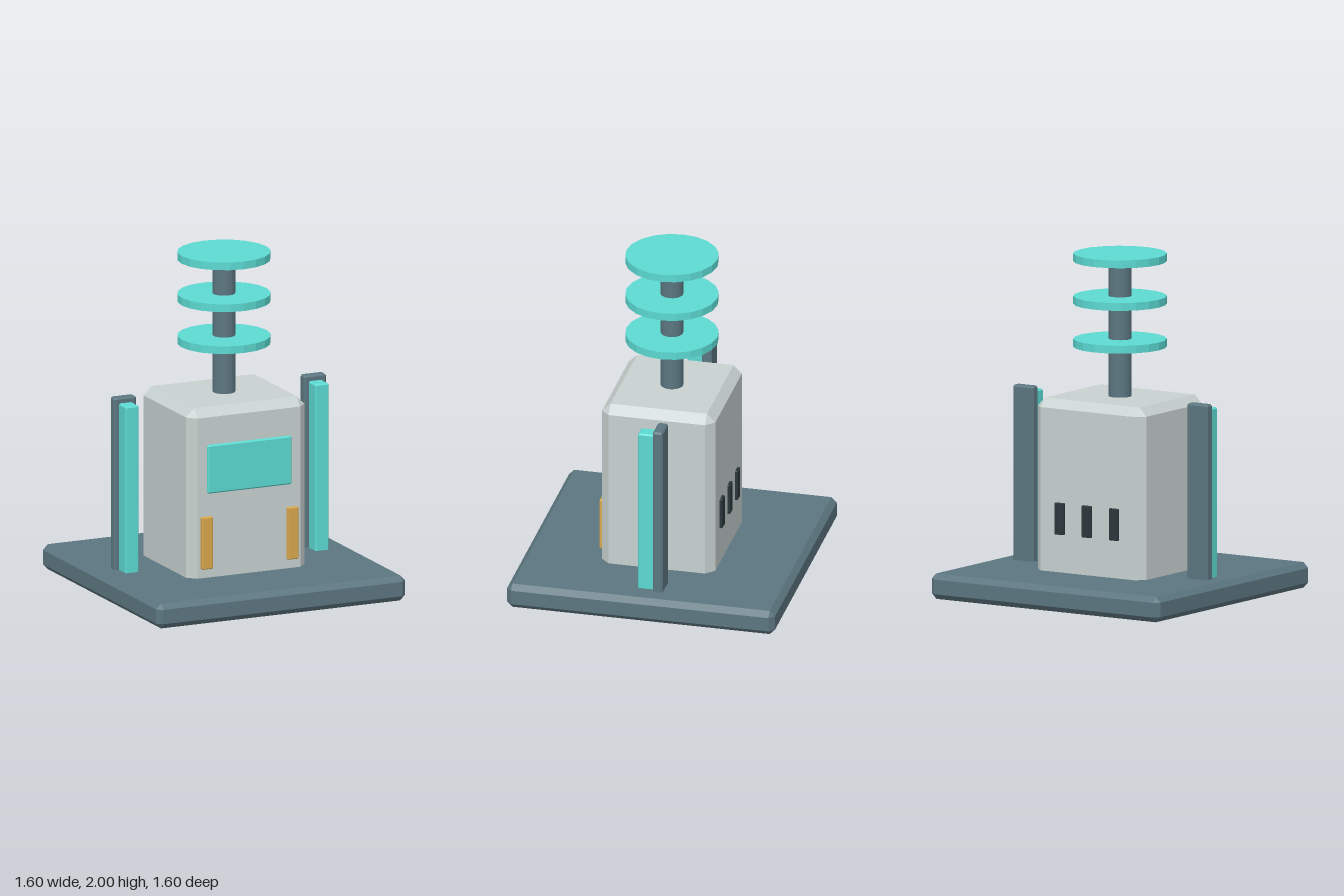
import * as THREE from 'three';
import { ConvexGeometry } from 'three/addons/geometries/ConvexGeometry.js';

const paint = (color) => new THREE.MeshStandardMaterial({ color, flatShading: true });

// Box between two corners with every edge cut by a flat chamfer c
function chamferBox(min, max, c) {
  const h = max.map((v, i) => (v - min[i]) / 2);
  const points = [];
  for (const sx of [-1, 1]) for (const sy of [-1, 1]) for (const sz of [-1, 1]) {
    for (let full = 0; full < 3; full++) {
      const p = [sx, sy, sz].map((s, i) => s * (h[i] - (i === full ? 0 : c)));
      points.push(new THREE.Vector3(...p));
    }
  }
  const geometry = new ConvexGeometry(points);
  geometry.translate(...max.map((v, i) => (v + min[i]) / 2));
  return geometry;
}

export function createModel() {
  const model = new THREE.Group();
  model.name = 'energyGenerator';
  const slate = paint(0x5c7680);
  const shell = paint(0xc8d2d0);
  const teal = paint(0x5cdad2);
  const amber = paint(0xd9a84c);
  const dark = paint(0x2b373b);

  const add = (name, geometry, material) => {
    const mesh = new THREE.Mesh(geometry, material);
    mesh.name = name;
    model.add(mesh);
    return mesh;
  };

  // Base slab and cabinet
  add('base', chamferBox([-0.8, 0, -0.8], [0.8, 0.15, 0.8], 0.032), slate);
  add('cabinet', chamferBox([-0.38, 0.09, -0.338], [0.38, 1.16, 0.338], 0.05), shell);

  // Front screen
  add('screen', chamferBox([-0.27, 0.655, 0.32], [0.27, 0.945, 0.355], 0.008), teal);

  // Paired front strips and side pylons
  for (const [side, s] of [['left', 1], ['right', -1]]) {
    const pair = (name, x, w, y0, y1, z0, z1, c, material) => add(side + name,
      chamferBox([s * x - w / 2, y0, z0], [s * x + w / 2, y1, z1], c), material);
    pair('Strip', 0.275, 0.07, 0.205, 0.517, 0.33, 0.36, 0.005, amber);
    pair('PylonPost', 0.61, 0.143, 0.12, 1.18, -0.107, -0.047, 0.01, slate);
    pair('PylonLight', 0.61, 0.086, 0.12, 1.147, -0.06, 0.047, 0.008, teal);
  }

  // Rear vents
  for (const x of [-0.19, 0, 0.19]) {
    add('vent', chamferBox([x - 0.032, 0.373, -0.355], [x + 0.032, 0.56, -0.325], 0.004), dark);
  }

  // Mast with three discs
  const mast = add('mast', new THREE.CylinderGeometry(0.066, 0.066, 0.86, 20), slate);
  mast.position.y = 1.55;
  for (const y of [1.475, 1.7265, 1.977]) {
    const disc = add('disc', new THREE.CylinderGeometry(0.272, 0.272, 0.046, 20), teal);
    disc.position.y = y;
  }
  return model;
}
